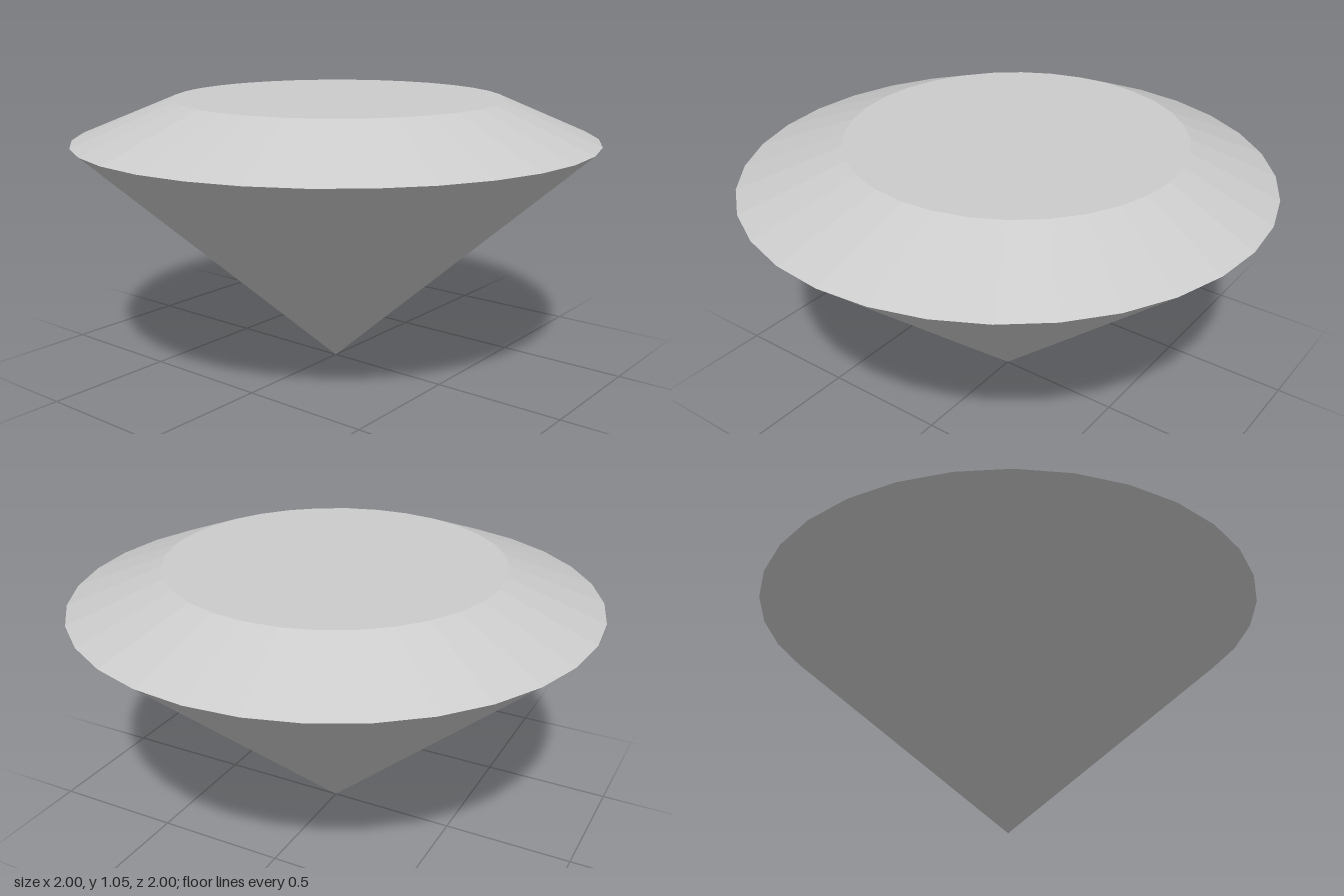
import * as THREE from 'three';

const SIDES = 32;
const GIRDLE_Y = 0.9, TOP_Y = 1.05;
const TABLE_RADIUS = 0.637, TABLE_X = 0.03, TABLE_Z = -0.013;

export function createModel() {
  const gem = new THREE.Group();
  gem.name = 'gem';
  const material = new THREE.MeshStandardMaterial({ color: 0xcccccc, flatShading: true });

  const add = (name, geometry) => {
    const mesh = new THREE.Mesh(geometry, material);
    mesh.name = name;
    gem.add(mesh);
    return mesh;
  };

  // Pavilion: faceted cone, point down
  const pavilion = new THREE.CylinderGeometry(1, 0, GIRDLE_Y, SIDES, 1, true);
  pavilion.translate(0, GIRDLE_Y / 2, 0);
  add('pavilion', pavilion);

  // Crown: shallow bevel whose upper rim sits slightly off centre
  const crown = new THREE.CylinderGeometry(TABLE_RADIUS, 1, TOP_Y - GIRDLE_Y, SIDES, 1, true);
  crown.translate(0, (GIRDLE_Y + TOP_Y) / 2, 0);
  const pos = crown.attributes.position;
  for (let i = 0; i < pos.count; i++) {
    if (pos.getY(i) > (GIRDLE_Y + TOP_Y) / 2) {
      pos.setX(i, pos.getX(i) + TABLE_X);
      pos.setZ(i, pos.getZ(i) + TABLE_Z);
    }
  }
  crown.computeVertexNormals();
  add('crown', crown);

  // Table: flat top facet
  const table = new THREE.CircleGeometry(TABLE_RADIUS, SIDES);
  table.rotateX(-Math.PI / 2);
  add('table', table).position.set(TABLE_X, TOP_Y, TABLE_Z);

  return gem;
}
